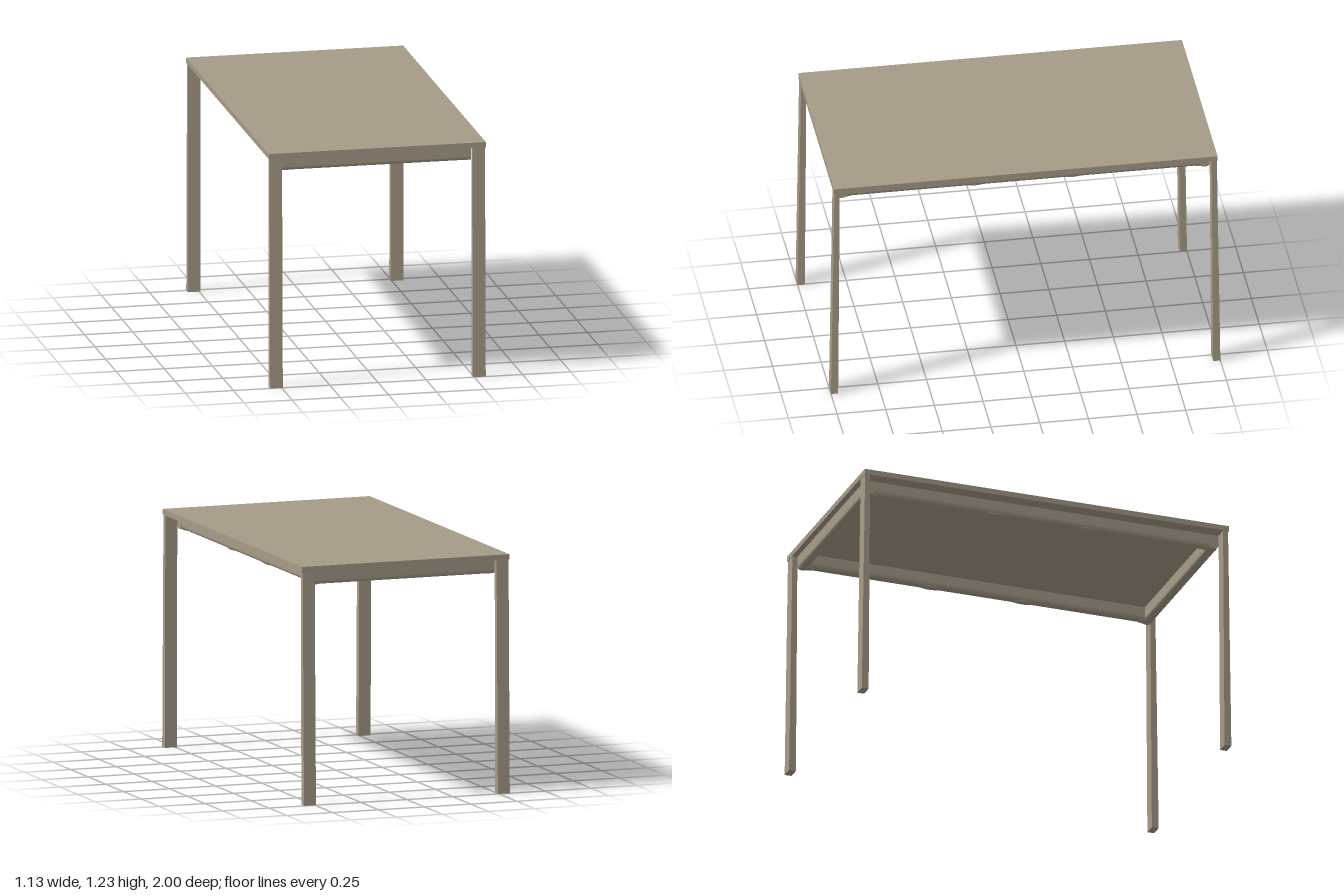
import * as THREE from 'three';

const TOP_Y = 1.225, UNDER_Y = 1.197;

export function createModel() {
  const table = new THREE.Group();
  table.name = 'table';
  const taupe = new THREE.MeshStandardMaterial({ color: 0xa69b88 });
  taupe.name = 'taupe';

  const add = (geometry, name, x = 0, y = 0, z = 0) => {
    const mesh = new THREE.Mesh(geometry, taupe);
    mesh.name = name;
    mesh.position.set(x, y, z);
    table.add(mesh);
    return mesh;
  };

  // Thin rectangular top
  add(new THREE.BoxGeometry(1.126, TOP_Y - UNDER_Y, 1.97), 'tabletop', 0, (TOP_Y + UNDER_Y) / 2, 0);

  // Leg side profile (z, y): splayed slightly outwards, thicker at the floor
  const legGeometry = () => {
    const s = new THREE.Shape();
    s.moveTo(0.963, 0);
    s.lineTo(1, 0);
    s.lineTo(0.982, UNDER_Y);
    s.lineTo(0.955, UNDER_Y);
    s.closePath();
    const g = new THREE.ExtrudeGeometry(s, { depth: 0.065, bevelEnabled: false });
    g.translate(0, 0, -0.0325);
    g.rotateY(-Math.PI / 2); // profile x becomes z
    return g;
  };
  for (const front of [1, -1]) {
    for (const side of [1, -1]) {
      const leg = add(legGeometry(), `${front > 0 ? 'front' : 'back'}${side > 0 ? 'Left' : 'Right'}Leg`, side * 0.5265);
      if (front < 0) leg.rotation.y = Math.PI;
    }
  }

  // Apron rail: upright bar with a rounded underside, running along z
  const railGeometry = (length, width, bottom) => {
    const w = width / 2, r = w * 0.8;
    const s = new THREE.Shape();
    s.moveTo(w, UNDER_Y);
    s.lineTo(-w, UNDER_Y);
    s.lineTo(-w, bottom + r);
    s.quadraticCurveTo(-w, bottom, -w + r, bottom);
    s.lineTo(w - r, bottom);
    s.quadraticCurveTo(w, bottom, w, bottom + r);
    s.closePath();
    const g = new THREE.ExtrudeGeometry(s, { depth: length, bevelEnabled: false, curveSegments: 8 });
    g.translate(0, 0, -length / 2);
    return g;
  };
  for (const s of [1, -1]) {
    add(railGeometry(1.9, 0.05, 1.127), s > 0 ? 'leftRail' : 'rightRail', s * 0.465);
    const end = add(railGeometry(0.985, 0.05, 1.126), s > 0 ? 'frontRail' : 'backRail', 0, 0, s * 0.931);
    end.rotation.y = Math.PI / 2;

    // Low swellings under the side rails
    for (const z of [-0.91, -0.25, 0.25, 0.91]) {
      const pad = add(new THREE.SphereGeometry(1, 16, 10), 'railPad', s * 0.465, 1.129, z);
      pad.scale.set(0.02, 0.008, Math.abs(z) > 0.5 ? 0.04 : 0.06);
    }
  }

  return table;
}
